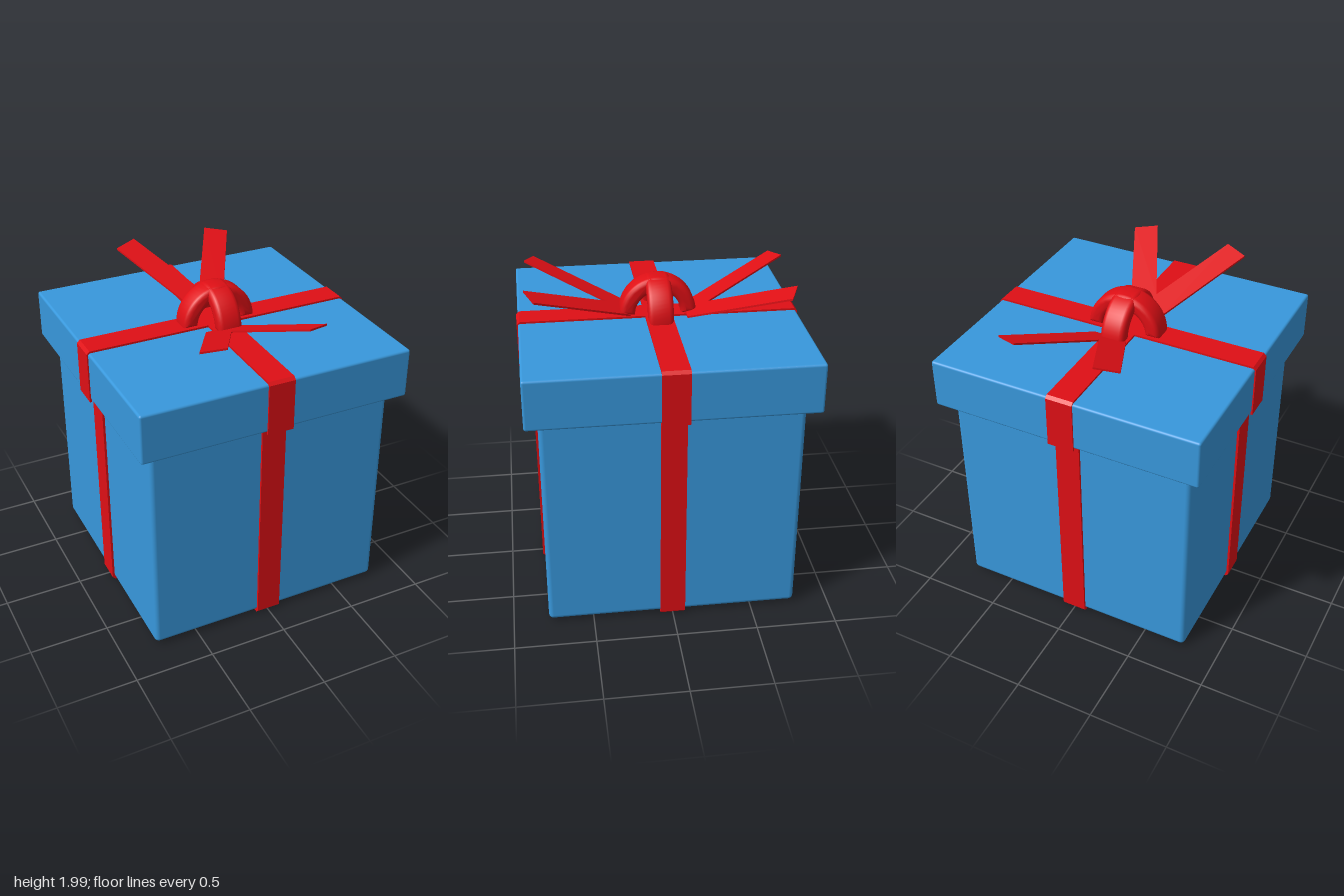
import * as THREE from 'three';
import { RoundedBoxGeometry } from 'three/addons/geometries/RoundedBoxGeometry.js';
import { toCreasedNormals } from 'three/addons/utils/BufferGeometryUtils.js';

const blue = new THREE.MeshStandardMaterial({ color: 0x3898dc });
const red = new THREE.MeshStandardMaterial({ color: 0xdf0f15 });

const polygon = (points) => new THREE.Shape(points.map(([x, y]) => new THREE.Vector2(x, y)));

function roundedBox(name, width, bottom, top, radius) {
  const mesh = new THREE.Mesh(new RoundedBoxGeometry(width, top - bottom, width, 3, radius), blue);
  mesh.name = name;
  mesh.position.y = (bottom + top) / 2;
  return mesh;
}

// U-shaped band with chamfered corners: closed at yBase, open at yOpen
function bandGeometry(half, yBase, yOpen, thickness, width) {
  const s = Math.sign(yOpen - yBase);
  const c = 0.018;
  const side = (w, y, k) => [[w, yOpen], [w, y + s * k], [w - k, y]];
  const outer = side(half, yBase, c);
  const inner = side(half - thickness, yBase + s * thickness, c * 0.7);
  const mirror = (pts) => pts.map(([x, y]) => [-x, y]).reverse();
  const shape = polygon([...outer, ...mirror(outer), ...inner.map(([x, y]) => [-x, y]), ...mirror(inner).map(([x, y]) => [-x, y])]);
  return new THREE.ExtrudeGeometry(shape, { depth: width, bevelEnabled: false }).translate(0, 0, -width / 2);
}

// Half ring with softened edges
function bowLoopGeometry() {
  const outer = 0.235, inner = 0.142, width = 0.155, bevel = 0.03;
  const shape = new THREE.Shape();
  shape.absarc(0, 0, outer, 0, Math.PI, false);
  shape.absarc(0, 0, inner, Math.PI, 0, true);
  shape.closePath();
  const geometry = new THREE.ExtrudeGeometry(shape, {
    depth: width - 2 * bevel, curveSegments: 14,
    bevelSize: bevel, bevelThickness: bevel, bevelOffset: -bevel, bevelSegments: 3,
  });
  geometry.translate(0, 0, -width / 2 + bevel);
  return toCreasedNormals(geometry, 0.6);
}

// Forked ribbon ends, drawn in plan and tilted upward away from the bow
function tailGeometry() {
  const shape = polygon([
    [-0.14, 0.17], [0.07, 0.17], [0.335, 0.76], [0.195, 0.815],
    [-0.04, 0.31], [-0.31, 0.8], [-0.45, 0.74],
  ]);
  const geometry = new THREE.ExtrudeGeometry(shape, { depth: 0.012, bevelEnabled: false });
  geometry.rotateX(Math.PI / 2);
  const p = geometry.attributes.position;
  for (let i = 0; i < p.count; i++) p.setY(i, p.getY(i) + 1.757 + (p.getZ(i) - 0.17) * 0.375);
  geometry.computeVertexNormals();
  return geometry;
}

export function createModel() {
  const model = new THREE.Group();
  model.name = 'giftBox';
  model.add(roundedBox('boxBody', 1.56, 0.02, 1.6, 0.03));
  model.add(roundedBox('lid', 1.72, 1.425, 1.738, 0.015));

  const add = (name, geometry, angle, y = 0) => {
    const mesh = new THREE.Mesh(geometry, red);
    mesh.name = name;
    mesh.rotation.y = angle;
    mesh.position.y = y;
    model.add(mesh);
  };

  // Crossing ribbons and bow loops
  const bodyBand = bandGeometry(0.794, 0.005, 1.45, 0.018, 0.155);
  const lidBand = bandGeometry(0.868, 1.75, 1.41, 0.013, 0.167);
  const loop = bowLoopGeometry();
  for (const angle of [0, Math.PI / 2]) {
    add('bodyRibbon', bodyBand, angle);
    add('lidRibbon', lidBand, angle);
    add('bowLoop', loop, angle, 1.75);
  }

  // Ribbon tails at front and back
  const tail = tailGeometry();
  for (const angle of [0, Math.PI]) add('bowTail', tail, angle);
  return model;
}
